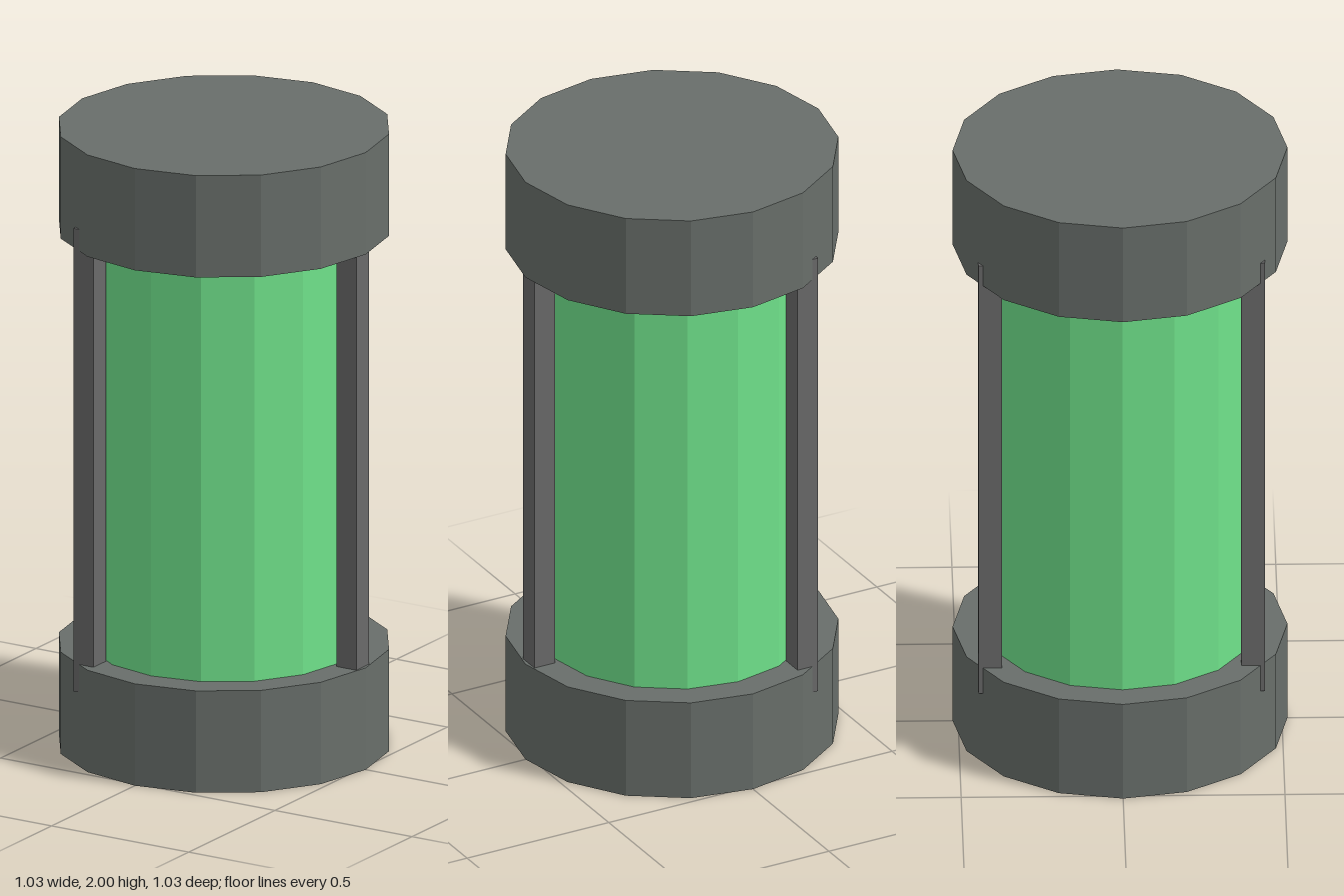
import * as THREE from 'three';

const SIDES = 16;

function material(color) {
  return new THREE.MeshStandardMaterial({ color, flatShading: true });
}

export function createModel() {
  const model = new THREE.Group();
  model.name = 'canister';
  const capMaterial = material(0x686e6a);
  const rodMaterial = material(0x6a6a6a);
  const tubeMaterial = material(0x70e38b);

  function add(name, geometry, mat, x, y, z) {
    const mesh = new THREE.Mesh(geometry, mat);
    mesh.name = name;
    mesh.position.set(x, y, z);
    model.add(mesh);
  }

  // Matching end caps
  const capHeight = 0.33;
  const cap = new THREE.CylinderGeometry(0.517, 0.517, capHeight, SIDES);
  add('bottomCap', cap, capMaterial, 0, capHeight / 2, 0);
  add('topCap', cap, capMaterial, 0, 2 - capHeight / 2, 0);

  // Green tube, seated slightly inside both caps
  add('tube', new THREE.CylinderGeometry(0.422, 0.422, 1.5, SIDES), tubeMaterial, 0, 1, 0);

  // Three square guard rods, evenly spaced but all square to the axes
  const rod = new THREE.BoxGeometry(0.073, 1.5, 0.073);
  for (let i = 0; i < 3; i++) {
    const angle = (i * Math.PI * 2) / 3;
    add('guardRod' + (i + 1), rod, rodMaterial, 0.469 * Math.cos(angle), 0.99, 0.469 * Math.sin(angle));
  }

  return model;
}
